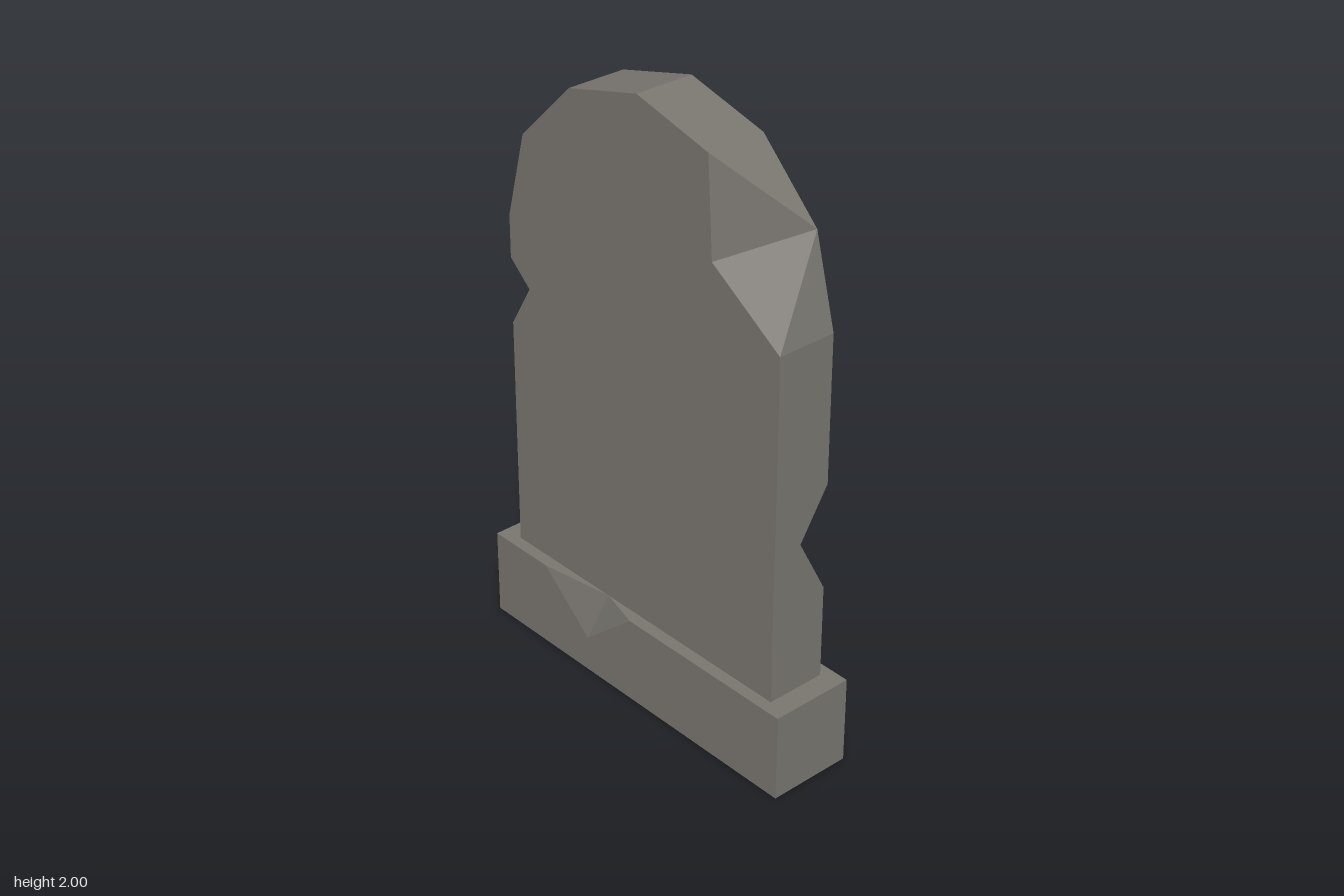
import * as THREE from 'three';

// Flat-shaded solid from planar polygons, each listed counter-clockwise as seen from outside
function solid(name, faces, material) {
  const out = [];
  for (const face of faces) {
    const pts = face.map(p => new THREE.Vector3(...p));
    const normal = new THREE.Vector3();
    pts.forEach((p, i) => normal.add(p.clone().cross(pts[(i + 1) % pts.length])));
    const [ax, ay, az] = normal.toArray().map(Math.abs);
    const flat = pts.map(p =>
      az >= ax && az >= ay ? new THREE.Vector2(p.x, p.y)
        : ax >= ay ? new THREE.Vector2(p.y, p.z)
          : new THREE.Vector2(p.z, p.x));
    for (const tri of THREE.ShapeUtils.triangulateShape(flat, [])) {
      const [a, b, c] = tri.map(i => pts[i]);
      const n = b.clone().sub(a).cross(c.clone().sub(a));
      for (const v of n.dot(normal) < 0 ? [a, c, b] : [a, b, c]) out.push(v.x, v.y, v.z);
    }
  }
  const geometry = new THREE.BufferGeometry();
  geometry.setAttribute('position', new THREE.Float32BufferAttribute(out, 3));
  geometry.computeVertexNormals();
  const mesh = new THREE.Mesh(geometry, material);
  mesh.name = name;
  return mesh;
}

// Two facets of an edge notch: upper, side tip, lower and inner corner
const notch = (u, t, l, i) => [[u, t, i], [t, l, i]];

function makeSlab(material) {
  const W = 0.575, D = 0.1, Y0 = 0.29, Y1 = 1.43;
  const front = ([x, y]) => [x, y, D];
  const back = ([x, y]) => [x, y, -D];

  // Faceted arch, left to right
  const arch = [[-W, Y1], [-0.5, 1.715], [-0.287, 1.925], [0, 2], [0.287, 1.925], [0.5, 1.715], [W, Y1]];

  // Broken upper corner
  const A = front(arch[4]), B = front(arch[6]), C = back(arch[5]), P = [0.305, 1.61, D];
  // Notch on the front edge at -x
  const n1 = [[-W, 1.29, D], [-W, 1.14, 0.01], [-W, 1.07, D], [-0.49, 1.215, D]];
  // Notch on the back edge at +x
  const n2 = [[W, 0.95, -D], [W, 0.79, 0], [W, 0.6, -D], [0.36, 0.745, -D]];

  const faces = [
    // front and back
    [[-W, Y0, D], [W, Y0, D], B, P, ...arch.slice(0, 5).reverse().map(front), n1[0], n1[3], n1[2]],
    [[-W, Y0, -D], ...arch.map(back), n2[0], n2[3], n2[2], [W, Y0, -D]],
    // sides and underside
    [[W, Y0, D], [W, Y0, -D], n2[2], n2[1], n2[0], [W, Y1, -D], B],
    [[-W, Y0, -D], [-W, Y0, D], n1[2], n1[1], n1[0], [-W, Y1, D], [-W, Y1, -D]],
    [[-W, Y0, -D], [W, Y0, -D], [W, Y0, D], [-W, Y0, D]],
    // broken corner facets and the arch triangles beside them
    [A, P, C], [P, B, C], [A, C, back(arch[4])], [C, B, back(arch[6])],
    ...notch(...n1), ...notch(...n2),
  ];
  // arch top
  for (let i = 0; i < 4; i++) {
    faces.push([front(arch[i]), front(arch[i + 1]), back(arch[i + 1]), back(arch[i])]);
  }
  return solid('slab', faces, material);
}

function makeBase(material) {
  const W = 0.645, D = 0.14, H = 0.29;
  // Chip in the front top edge
  const l = [-0.4, H, D], r = [0, H, D], low = [-0.2, 0.12, D], deep = [-0.145, H, 0.1];
  return solid('base', [
    [[-W, 0, D], [W, 0, D], [W, H, D], r, low, l, [-W, H, D]],
    [[-W, H, D], l, deep, r, [W, H, D], [W, H, -D], [-W, H, -D]],
    [[W, 0, -D], [-W, 0, -D], [-W, H, -D], [W, H, -D]],
    [[W, 0, D], [W, 0, -D], [W, H, -D], [W, H, D]],
    [[-W, 0, -D], [-W, 0, D], [-W, H, D], [-W, H, -D]],
    [[-W, 0, -D], [W, 0, -D], [W, 0, D], [-W, 0, D]],
    [l, low, deep], [low, r, deep],
  ], material);
}

export function createModel() {
  const stone = new THREE.MeshStandardMaterial({ color: 0x797670 });
  stone.name = 'grey stone';
  const group = new THREE.Group();
  group.name = 'gravestone';
  group.add(makeSlab(stone), makeBase(stone));
  return group;
}
